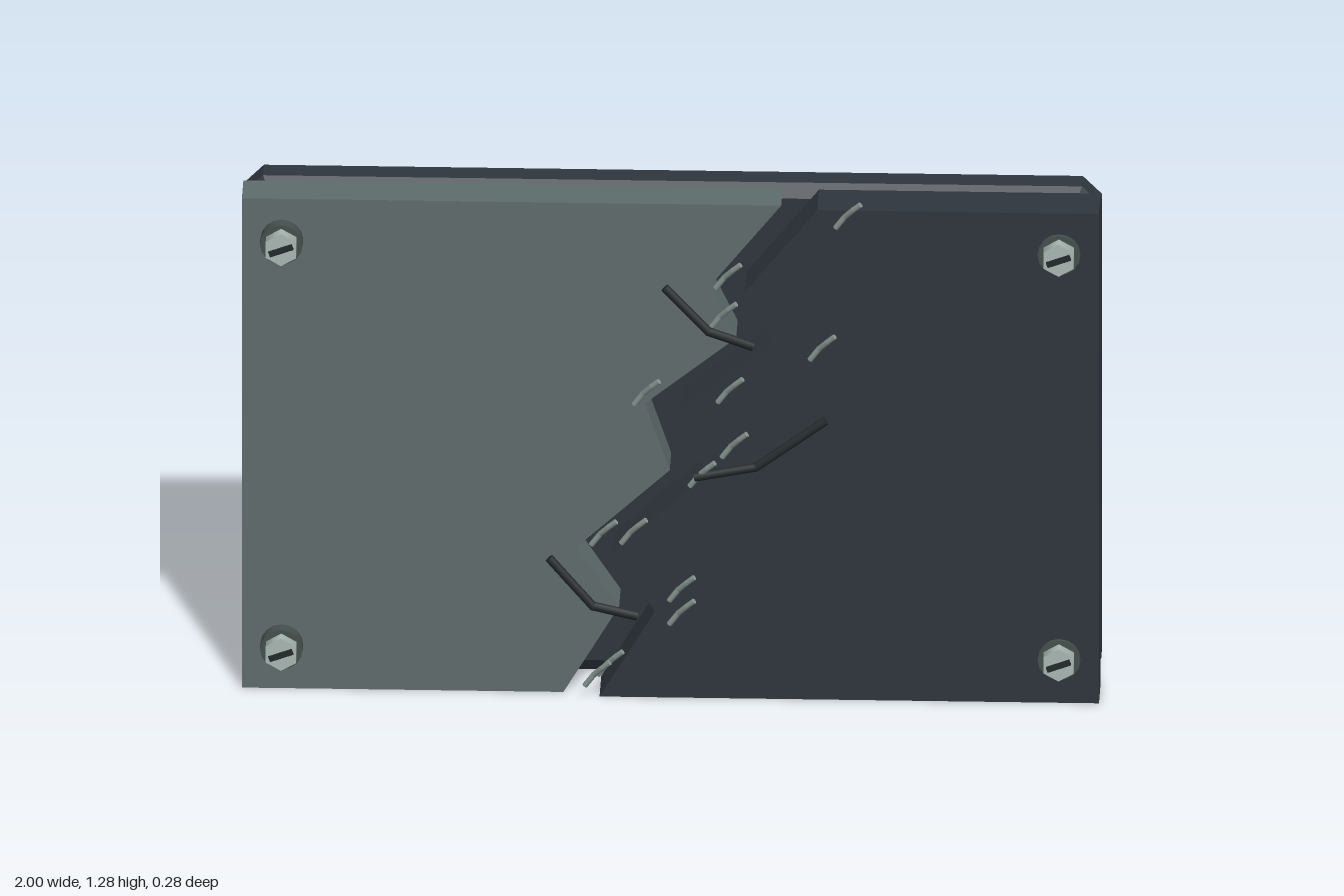
import * as THREE from 'three';

const mat = (name, color) => {
  const m = new THREE.MeshStandardMaterial({ color });
  m.name = name;
  return m;
};

export function createModel() {
  const group = new THREE.Group();
  const slate = mat('dark slate', 0x2e363d);
  const grey = mat('grey green', 0x5f6c6c);
  const steel = mat('pale steel', 0xa9b8b2);
  const washerMat = mat('washer grey', 0x46504e);
  const rubber = mat('black rubber', 0x23292b);
  const strand = mat('wire grey', 0x84928d);

  const add = (geometry, material, name, parent = group) => {
    const mesh = new THREE.Mesh(geometry, material);
    mesh.name = name;
    parent.add(mesh);
    return mesh;
  };
  const shapeOf = (pts) => new THREE.Shape(pts.map(([x, y]) => new THREE.Vector2(x, y)));

  // Back slab: clipped corners and chamfered rims
  const H = 1.25, c = 0.045, b = 0.032;
  const slab = new THREE.ExtrudeGeometry(shapeOf([
    [-1 + c, 0], [1 - c, 0], [1, c], [1, H - c], [1 - c, H], [-1 + c, H], [-1, H - c], [-1, c],
  ]), { depth: 0.06, bevelEnabled: true, bevelThickness: 0.021, bevelSize: b, bevelOffset: -b, bevelSegments: 1 });
  slab.translate(0, 0, -0.121);
  add(slab, slate, 'backSlab');

  // Two front plates split by a jagged crack, bottom to top
  const crack = [[-0.165, 0], [-0.035, 0.22], [-0.135, 0.37], [0.083, 0.57],
    [0.025, 0.74], [0.238, 0.91], [0.175, 1.04], [0.343, H]];
  const plate = (pts, z0, z1, material, name) => {
    const g = new THREE.ExtrudeGeometry(shapeOf(pts), { depth: z1 - z0, bevelEnabled: false });
    g.translate(0, 0, z0);
    add(g, material, name);
  };
  const leftEdge = crack.map(([x, y]) => [x - 0.085, y]);
  plate([[-1, 0], ...leftEdge, [-1, H]], -0.03, 0.072, grey, 'greyPlate');
  plate([[1, H], ...[...crack].reverse(), [1, 0]], -0.022, 0.095, slate, 'darkPlate');

  // Corner bolts: washer, hex head and slot
  for (const x of [-0.907, 0.907]) {
    for (const y of [0.113, 1.147]) {
      const bolt = new THREE.Group();
      bolt.name = 'bolt';
      bolt.position.set(x, y, 0);
      group.add(bolt);
      const washer = add(new THREE.CylinderGeometry(0.05, 0.05, 0.036, 16), washerMat, 'washer', bolt);
      washer.rotation.x = Math.PI / 2;
      washer.position.z = 0.087;
      const head = add(new THREE.CylinderGeometry(0.041, 0.041, 0.03, 6).toNonIndexed(), steel, 'hexHead', bolt);
      head.rotation.x = Math.PI / 2;
      head.position.z = 0.12;
      const slot = add(new THREE.BoxGeometry(0.058, 0.013, 0.008), rubber, 'slot', bolt);
      slot.position.z = 0.138;
      slot.rotation.z = 0.35;
    }
  }

  // Bent rods with closed ends
  const rod = (pts, radius, material, name) => {
    const v = pts.map((p) => new THREE.Vector3(...p));
    const part = new THREE.Group();
    part.name = name;
    group.add(part);
    for (let i = 0; i < v.length - 1; i++) {
      const d = v[i + 1].clone().sub(v[i]);
      const seg = add(new THREE.CylinderGeometry(radius, radius, d.length() + radius * 0.6, 8), material, name + 'Segment', part);
      seg.position.copy(v[i]).addScaledVector(d, 0.5);
      seg.quaternion.setFromUnitVectors(new THREE.Vector3(0, 1, 0), d.normalize());
    }
  };

  // Torn cables
  const cables = [
    [[-0.01, 1.05], [0.09, 0.945], [0.19, 0.905]],
    [[0.06, 0.57], [0.2, 0.6], [0.36, 0.715]],
    [[-0.28, 0.355], [-0.18, 0.24], [-0.08, 0.212]],
  ];
  for (const [p, q, r] of cables) {
    rod([[...p, 0.108], [...q, 0.115], [...r, 0.106]], 0.011, rubber, 'cable');
  }

  // Short frayed strands scattered along the crack
  const strands = [[0.415, 1.243], [0.135, 1.085], [0.125, 0.985], [0.355, 0.905], [-0.055, 0.785],
    [0.14, 0.793], [0.15, 0.653], [0.075, 0.578], [-0.155, 0.425], [-0.085, 0.43],
    [0.027, 0.285], [0.027, 0.225], [-0.14, 0.093], [-0.17, 0.065]];
  for (const [x, y] of strands) {
    rod([[x - 0.028, y - 0.033, 0.102], [x - 0.008, y - 0.005, 0.105],
      [x + 0.012, y + 0.018, 0.117], [x + 0.028, y + 0.033, 0.122]], 0.007, strand, 'strand');
  }
  return group;
}
